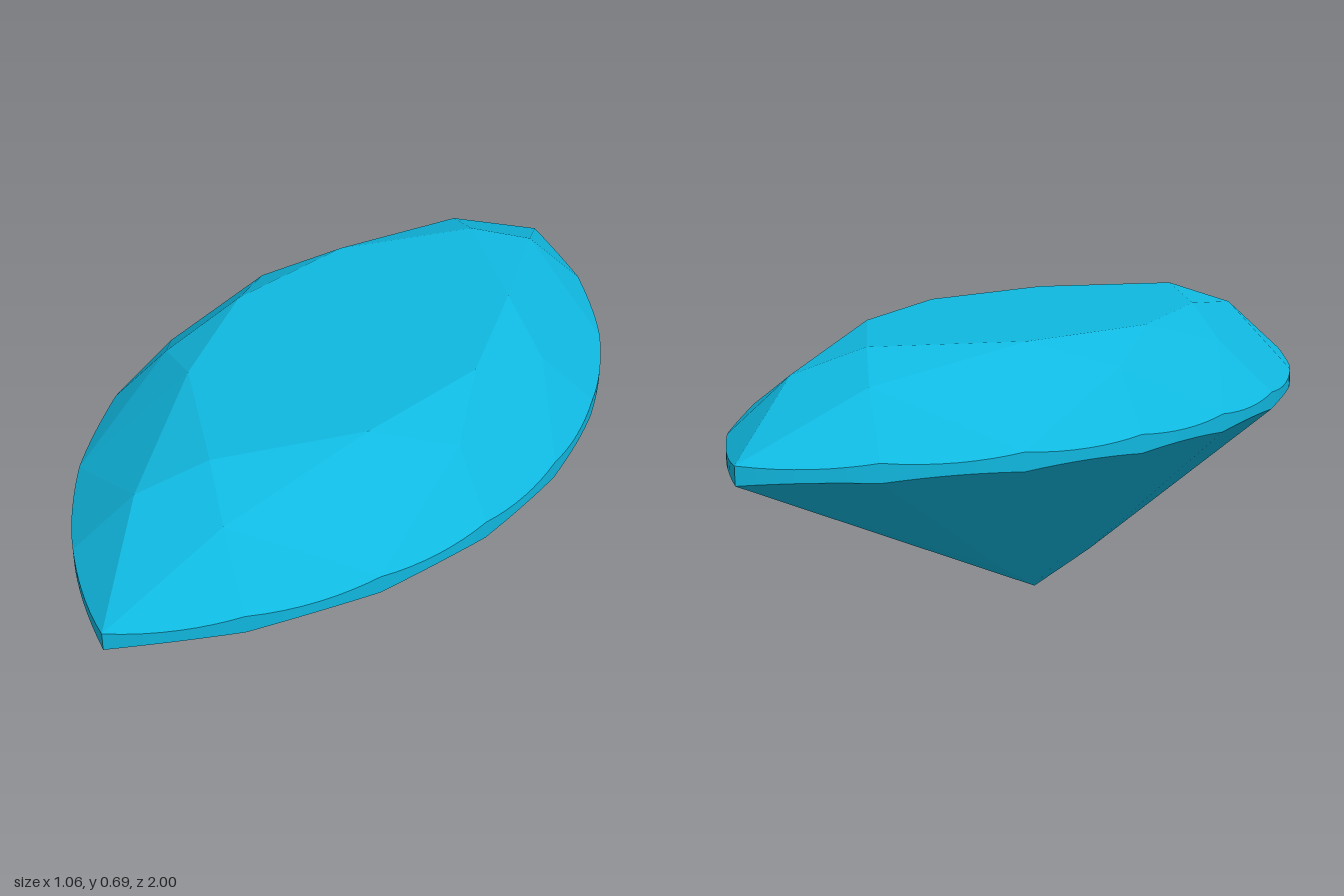
import * as THREE from 'three';

const HALF_WIDTH = 0.53, GIRDLE_TOP = 0.507, GIRDLE_LOW = 0.465, TABLE = 0.69;
const STEPS = 8; // outline segments per girdle facet
const V = (x, y, z) => new THREE.Vector3(x, y, z);

// Pointed oval outline: two equal arcs meeting at z = +-1
const R = (1 + HALF_WIDTH ** 2) / (2 * HALF_WIDTH);
const outlineX = (z) => Math.max(0, Math.sqrt(R * R - z * z) - (R - HALF_WIDTH));
const rim = (z, y) => V(outlineX(z), y, z);

// Outline points between two stations, lifted onto the plane of the facet a, b, c
function scallop(a, b, c) {
  const plane = new THREE.Plane().setFromCoplanarPoints(a, b, c);
  const n = plane.normal;
  return Array.from({ length: STEPS + 1 }, (_, i) => {
    const z = THREE.MathUtils.lerp(a.z, b.z, i / STEPS), x = outlineX(z);
    return V(x, -(plane.constant + n.x * x + n.z * z) / n.y, z);
  });
}

// Mirrors one quarter's triangles into all four quarters, each wound to face outward
function facetMesh(name, triangles, material) {
  const centre = V(0, 0.48, 0), points = [];
  for (const sx of [1, -1]) for (const sz of [1, -1]) {
    for (const t of triangles) {
      const [a, b, c] = t.map((p) => V(p.x * sx, p.y, p.z * sz));
      const normal = b.clone().sub(a).cross(c.clone().sub(a));
      const outward = a.clone().add(b).add(c).divideScalar(3).sub(centre);
      points.push(...(normal.dot(outward) > 0 ? [a, b, c] : [a, c, b]));
    }
  }
  const geometry = new THREE.BufferGeometry().setFromPoints(points);
  geometry.computeVertexNormals();
  const mesh = new THREE.Mesh(geometry, material);
  mesh.name = name;
  return mesh;
}

export function createModel() {
  const gem = new THREE.Group();
  gem.name = 'gem';
  const material = new THREE.MeshStandardMaterial({ color: 0x10b8e0, flatShading: true });

  // Girdle stations of one quarter, tip to side: main, mid, main, mid, main
  const stations = [1, 0.81, 0.56, 0.28, 0];
  const upper = stations.map((z) => rim(z, GIRDLE_TOP));
  const lower = stations.map((z) => rim(z, GIRDLE_LOW));
  const tableCorners = [V(0, TABLE, 0.6), V(0.235, TABLE, 0.338), V(0.32, TABLE, 0)];
  const crownMids = [V(0.112, 0.635, 0.72), V(0.39, 0.63, 0.21)];
  const culet = V(0, 0, 0);
  const lowMids = [1, 3].map((i) => V(lower[i].x * 0.24, 0.102, lower[i].z * 0.24));

  const table = [], stars = [], kites = [], crownHalves = [], girdle = [], mains = [], lowHalves = [];
  for (let i = 0; i < 2; i++) {
    const c = crownMids[i], low = lowMids[i], t0 = tableCorners[i], t1 = tableCorners[i + 1];
    const m0 = 2 * i, m1 = 2 * i + 2;
    table.push([V(0, TABLE, 0), t0, t1]);
    stars.push([t0, t1, c]);
    kites.push([t0, c, upper[m0]], [t1, c, upper[m1]]);
    mains.push([culet, low, lower[m0]], [culet, low, lower[m1]]);

    // Two half facets above and below the girdle, with scalloped edges
    for (const k of [m0, m0 + 1]) {
      const top = scallop(upper[k], upper[k + 1], c);
      const bottom = scallop(lower[k], lower[k + 1], low);
      for (let s = 0; s < STEPS; s++) {
        crownHalves.push([c, top[s], top[s + 1]]);
        lowHalves.push([low, bottom[s], bottom[s + 1]]);
        girdle.push([top[s], top[s + 1], bottom[s]], [top[s + 1], bottom[s + 1], bottom[s]]);
      }
    }
  }

  const parts = {
    table, starFacets: stars, crownMainFacets: kites, crownHalfFacets: crownHalves,
    girdle, pavilionMainFacets: mains, pavilionHalfFacets: lowHalves,
  };
  for (const [name, triangles] of Object.entries(parts)) gem.add(facetMesh(name, triangles, material));
  return gem;
}
